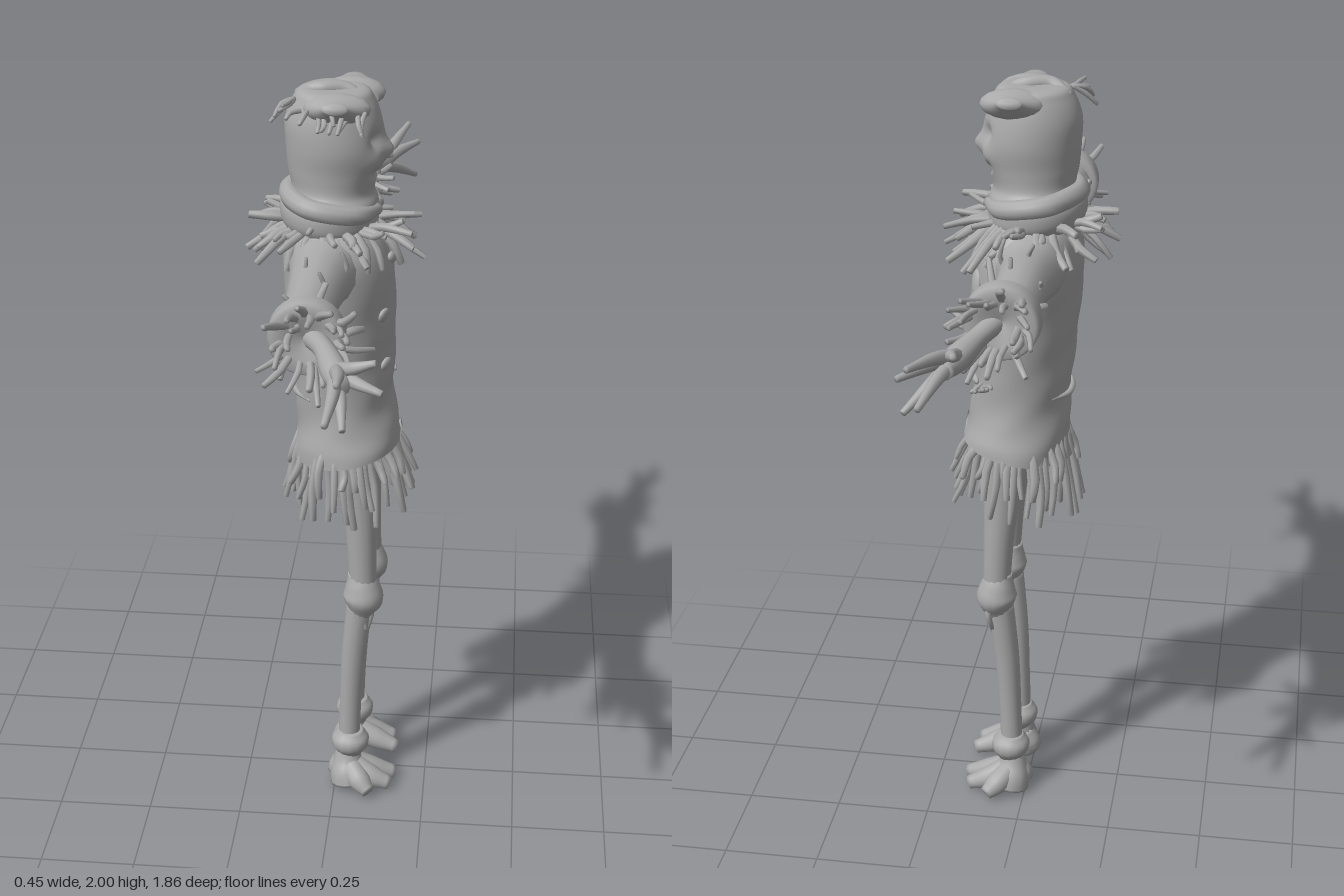
import * as THREE from 'three';
import { mergeGeometries } from 'three/addons/utils/BufferGeometryUtils.js';

const V = (p) => new THREE.Vector3(...p);
const burlap = new THREE.MeshStandardMaterial({ color: 0xaaaaaa, side: THREE.DoubleSide });
burlap.name = 'grey burlap';

// Smooth value through a list, t in 0..1
function through(values) {
  const s = new THREE.SplineCurve(values.map((v, i) => new THREE.Vector2(i, v)));
  return (t) => s.getPoint(t).y;
}

// Surface through closed rings of equal size
function skin(rings) {
  const n = rings[0].length, pos = [], idx = [];
  rings.forEach((r) => r.forEach((p) => pos.push(p.x, p.y, p.z)));
  for (let i = 0; i < rings.length - 1; i++) {
    for (let j = 0; j < n; j++) {
      const a = i * n + j, b = i * n + (j + 1) % n;
      idx.push(a, a + n, b, b, a + n, b + n);
    }
  }
  const g = new THREE.BufferGeometry();
  g.setAttribute('position', new THREE.Float32BufferAttribute(pos, 3));
  g.setIndex(idx);
  g.computeVertexNormals();
  return g;
}

// Rounded tube of varying radius along a path
function limb(points, radii, steps = 24, sides = 14) {
  const curve = new THREE.CatmullRomCurve3(points.map(V));
  const f = curve.computeFrenetFrames(steps, false), radius = through(radii);
  const ring = (i, scale) => {
    const t = i / steps, c = curve.getPoint(t), r = radius(t) * scale;
    return Array.from({ length: sides }, (_, j) => {
      const a = (j / sides) * Math.PI * 2;
      return c.clone().addScaledVector(f.normals[i], Math.cos(a) * r).addScaledVector(f.binormals[i], -Math.sin(a) * r);
    });
  };
  const rings = [ring(0, 0.001)];
  for (let i = 0; i <= steps; i++) rings.push(ring(i, 1));
  rings.push(ring(steps, 0.001));
  return skin(rings);
}

// Upright body from rows of [y, centre x, radius x, radius z]
function upright(rows, steps, sides, shape) {
  const [y, cx, rx, rz] = [0, 1, 2, 3].map((k) => through(rows.map((r) => r[k])));
  return skin(Array.from({ length: steps + 1 }, (_, i) => {
    const t = i / steps;
    return Array.from({ length: sides }, (_, j) => {
      const a = (j / sides) * Math.PI * 2;
      const p = new THREE.Vector3(cx(t) + rx(t) * Math.cos(a), y(t), rz(t) * Math.sin(a));
      shape(p, a, t);
      return p;
    });
  }));
}

export function createModel() {
  const model = new THREE.Group();
  let seed = 7;
  const rand = (lo, hi) => {
    seed = (seed * 16807) % 2147483647;
    return lo + (hi - lo) * (seed / 2147483647);
  };
  const add = (name, geometry, parent = model) => {
    const m = new THREE.Mesh(geometry, burlap);
    m.name = name;
    parent.add(m);
    return m;
  };
  const straw = (a, b, r = 0.009) => {
    const mid = a.map((v, i) => (v + b[i]) / 2 + rand(-0.012, 0.012));
    return limb([a, mid, b], [r, r * 1.1, r * 0.8], 4, 6);
  };
  const bunch = (name, count, make) =>
    add(name, mergeGeometries(Array.from({ length: count }, (_, i) => straw(...make(i)))));

  // Jacket with a split, tilted hem
  add('jacket', upright([
    [1.04, 0.03, 0.142, 0.172], [1.07, 0.03, 0.138, 0.168], [1.12, 0.027, 0.132, 0.155], [1.19, 0.02, 0.125, 0.147],
    [1.27, 0.017, 0.13, 0.152], [1.38, 0.012, 0.136, 0.165], [1.5, 0.005, 0.14, 0.183],
    [1.58, 0, 0.134, 0.185], [1.64, -0.005, 0.115, 0.15], [1.68, -0.01, 0.08, 0.1],
  ], 44, 64, (p, a, t) => {
    const low = Math.max(0, 1 - t * 5), front = Math.min(a, Math.PI * 2 - a);
    p.y += low * (Math.cos(a) * 0.025 + 0.05 * Math.max(0, 1 - front / 0.2));
    p.x -= 0.008 * Math.exp(-((front / 0.05) ** 2)) * (t < 0.8 ? 1 : 0);
    p.x += 0.004 * Math.sin(p.y * 45 + a * 3) * (1 - t);
  }));

  // Sack head with a rolled neck; face pressed into the +x side
  const bump = (p, y, z, s) => Math.exp(-(((p.y - y) ** 2 + (Math.abs(p.z) - z) ** 2) / (s * s)));
  add('head', upright([
    [1.61, -0.01, 0.09, 0.1], [1.645, -0.015, 0.115, 0.135], [1.675, -0.02, 0.122, 0.145], [1.71, -0.02, 0.12, 0.14],
    [1.74, -0.012, 0.103, 0.112], [1.79, -0.008, 0.114, 0.11], [1.85, -0.005, 0.122, 0.117],
    [1.91, -0.01, 0.118, 0.113], [1.96, -0.01, 0.1, 0.1], [1.985, -0.01, 0.075, 0.08], [1.985, -0.01, 0.001, 0.001],
  ], 64, 72, (p, a) => {
    if (Math.cos(a) <= 0 || p.y < 1.72) return;
    const smile = 1.775 + p.z * p.z * 5;
    p.x += 0.022 * bump(p, 1.835, 0, 0.024) + 0.01 * bump(p, 1.82, 0.065, 0.025);
    p.x -= 0.022 * bump(p, 1.872, 0.05, 0.02);
    if (Math.abs(p.z) < 0.065) p.x -= 0.014 * Math.exp(-(((p.y - smile) / 0.008) ** 2));
  }));
  add('neckFold', limb([[0.1, 1.69, 0.02], [0.05, 1.7, 0.11], [-0.06, 1.72, 0.125], [-0.12, 1.725, 0], [-0.06, 1.72, -0.125],
    [0.05, 1.7, -0.11], [0.1, 1.69, -0.02]], [0.015, 0.024, 0.026, 0.026, 0.026, 0.024, 0.015], 40, 10));

  // Tied sack corners
  for (const s of [1, -1]) {
    const ear = add(s > 0 ? 'leftSackCorner' : 'rightSackCorner',
      limb([[0, 0, -0.06], [0, 0.005, 0], [0, 0.025, 0.06]], [0.035, 0.042, 0.014], 14, 18));
    ear.scale.set(1.9, 0.85, 1);
    ear.position.set(s > 0 ? 0.005 : 0.03, 1.952, s * 0.085);
    if (s < 0) ear.rotation.y = Math.PI;
  }
  add('crown', limb([[-0.1, 1.965, -0.02], [-0.05, 1.985, 0.015], [0.02, 1.982, 0], [0.075, 1.955, 0.02]], [0.01, 0.018, 0.018, 0.01], 16, 12));
  bunch('cornerStraw', 10, (i) => {
    const x = -0.08 + i * 0.017;
    return [[x, 1.955, 0.1], [x + rand(-0.03, 0.02), rand(1.905, 1.95), rand(0.13, 0.165)], 0.006];
  });
  bunch('crownStraw', 4, (i) => [[-0.1, 1.97, 0.05], [-0.155 + i * 0.012, 1.92 + i * 0.018, 0.08 + i * 0.015], 0.006]);

  // Straw ruff and hem fringe
  bunch('collarStraw', 64, (i) => {
    const a = (i / 64) * Math.PI * 2 + rand(-0.05, 0.05), r = rand(0.16, 0.235), c = Math.cos(a), s = Math.sin(a);
    return [[c * 0.105 - 0.01, 1.655, s * 0.12], [c * r, 1.66 - rand(-0.02, 0.11), s * r], rand(0.008, 0.012)];
  });
  bunch('hemStraw', 60, (i) => {
    const a = (i / 60) * Math.PI * 2 + rand(-0.05, 0.05), r = rand(0.97, 1.22), c = Math.cos(a), s = Math.sin(a);
    return [[0.025 + c * 0.12, 1.075, s * 0.15], [0.035 + c * 0.145 * r, rand(0.86, 1.0), s * 0.16 * r], rand(0.008, 0.012)];
  });

  // Arms along z, each with cuff, twig hand and straw
  for (const s of [1, -1]) {
    const arm = new THREE.Group();
    arm.name = s > 0 ? 'leftArm' : 'rightArm';
    model.add(arm);
    const y = s > 0 ? 1.57 : 1.59, cuff = s > 0 ? 0.55 : 0.56;
    add('sleeve', limb([[-0.015, 1.56, s * 0.08], [-0.025, 1.567, s * 0.2], [-0.03, y, s * 0.36], [-0.03, y, s * 0.55]],
      [0.1, 0.076, 0.063, 0.062]), arm);
    const band = add('cuff', new THREE.LatheGeometry([[0.055, -0.03], [0.082, -0.032], [0.09, -0.02], [0.088, 0.02],
      [0.08, 0.032], [0.05, 0.028], [0.001, 0.01]].map((p) => new THREE.Vector2(...p)), 28), arm);
    band.rotation.x = s * Math.PI / 2;
    band.position.set(-0.02, y + 0.005, s * cuff);
    add('palm', limb([[-0.01, y, s * 0.54], [0.025, 1.575, s * 0.62], [0.055, 1.56, s * 0.7], [0.075, 1.555, s * 0.77]],
      [0.026, 0.024, 0.031, 0.022]), arm);
    const tips = s > 0
      ? [[0.055, 1.54, 0.93], [0.075, 1.605, 0.87], [0.085, 1.49, 0.85], [0.165, 1.55, 0.785], [0.15, 1.61, 0.76]]
      : [[0.1, 1.535, 0.93], [0.125, 1.615, 0.91], [0.15, 1.485, 0.845], [0.155, 1.575, 0.87], [0.04, 1.615, 0.83]];
    tips.forEach(([x, ty, z], i) => add('finger' + (i + 1), limb(
      [[0.055, 1.56, s * 0.69], [0.4 * x + 0.04, (ty + 1.56) / 2 + 0.005, s * (0.3 * z + 0.52)], [x, ty, s * z]],
      [0.018, 0.015, 0.008], 10, 9), arm));
    add('wristStraw', mergeGeometries(Array.from({ length: 30 }, (_, i) => {
      const a = (i / 30) * Math.PI * 2, r = rand(0.06, 0.145), c = Math.cos(a), d = Math.sin(a), back = i % 7 === 0;
      return straw([-0.01 + c * 0.05, y + d * 0.05, s * cuff],
        [0.005 + c * r, y + d * r * 0.9, s * (cuff + (back ? -0.06 : rand(0.05, 0.14)))], rand(0.007, 0.01));
    })), arm);
    // Stray stalks poking from the sleeve
    add('sleeveStraw', mergeGeometries([[0.27, 1, -0.03], [0.36, 1, 0], [0.42, 0.6, -0.06], [0.21, 0.9, 0.03]].map(([z, up, x]) =>
      straw([x, y, s * z], [x * 1.3 - 0.01, y + 0.085 * up, s * (z + 0.01)], 0.006))), arm);
  }

  // Legs with knobbly knees, ankle rags and three-toed feet
  for (const s of [1, -1]) {
    const leg = new THREE.Group();
    leg.name = s > 0 ? 'leftLeg' : 'rightLeg';
    model.add(leg);
    const o = s > 0 ? 0 : 0.015;
    const at = (x, y, z) => [x, y, s * (z + o)];
    add('thigh', limb([at(0.055, 1.14, 0.07), at(0.06, 0.95, 0.07), at(0.07, 0.78, 0.08), at(0.078, 0.6, 0.083)],
      [0.056, 0.05, 0.04, 0.036]), leg);
    add('knee', limb([at(0.066, 0.69, 0.08), at(0.073, 0.65, 0.083), at(0.076, 0.61, 0.083), at(0.068, 0.56, 0.082)],
      [0.032, 0.046, 0.054, 0.03], 16), leg);
    add('shin', limb([at(0.068, 0.6, 0.082), at(0.05, 0.42, 0.076), at(0.042, 0.26, 0.073), at(0.038, 0.1, 0.072)],
      [0.036, 0.033, 0.03, 0.03]), leg);
    add('ankleRag', limb([at(0.042, 0.175, 0.072), at(0.042, 0.15, 0.072), at(0.042, 0.125, 0.072), at(0.042, 0.1, 0.072)],
      [0.034, 0.051, 0.05, 0.034], 12), leg);
    add('foot', limb([at(0.036, 0.12, 0.072), at(0.036, 0.08, 0.078), at(0.04, 0.045, 0.088), at(0.045, 0.018, 0.092)],
      [0.032, 0.04, 0.052, 0.056], 12), leg);
    add('heel', limb([at(0.03, 0.08, 0.07), at(0.01, 0.045, 0.07), at(0.0, 0.025, 0.07)], [0.03, 0.03, 0.023], 8), leg);
    [[0.165, 0.052], [0.155, 0.108], [0.1, 0.155]].forEach(([x, z], i) => add('toe' + (i + 1),
      limb([at(0.03, 0.08, 0.075), at(0.03 + x * 0.42, 0.042, 0.03 + z * 0.65), at(x, 0.02, z)], [0.028, 0.031, 0.019], 12), leg));
    // Straw hanging under the knee
    add('kneeStraw', mergeGeometries([-0.02, 0.01, 0.025].map((d) =>
      straw(at(0.095, 0.6, 0.083 + d), at(0.085, 0.5 + Math.abs(d), 0.083 + d * 0.8), 0.008))), leg);
  }

  // Torn patches and stalks on the jacket front: [y, z, half height, half width, tilt]
  [[1.51, -0.115, 0.036, 0.018, 0.3], [1.235, -0.065, 0.013, 0.036, 0], [1.44, 0.1, 0.02, 0.02, 0.5],
    [1.3, 0.08, 0.016, 0.022, 0.2], [1.58, 0.06, 0.014, 0.02, -0.4]].forEach(([y, z, h, w, tilt], i) => {
    const patch = add('patch' + (i + 1), new THREE.SphereGeometry(1, 16, 10));
    const rz = 0.155 + (y - 1.25) * 0.11;
    patch.scale.set(0.009, h, w);
    patch.position.set(0.012 + 0.135 * Math.sqrt(1 - (z / rz) ** 2), y, z);
    patch.rotation.set(tilt, -Math.atan2(z * 0.8, 0.12), 0);
  });
  bunch('pocketStraw', 6, (i) => [[0.1, 1.235, -0.09 - i * 0.008], [0.13 - i * 0.012, 1.225 + i * 0.007, -0.14 - i * 0.009], 0.006]);
  bunch('chestStraw', 4, (i) => [[0.06, 1.46 - i * 0.02, -0.15], [0.06 + i * 0.01, 1.43 - i * 0.005, -0.195], 0.006]);
  add('backCrease', limb([[-0.06, 1.205, 0.115], [-0.1, 1.2, 0.05], [-0.107, 1.195, -0.03], [-0.07, 1.2, -0.1]],
    [0.004, 0.008, 0.008, 0.004], 16, 8));
  return model;
}
